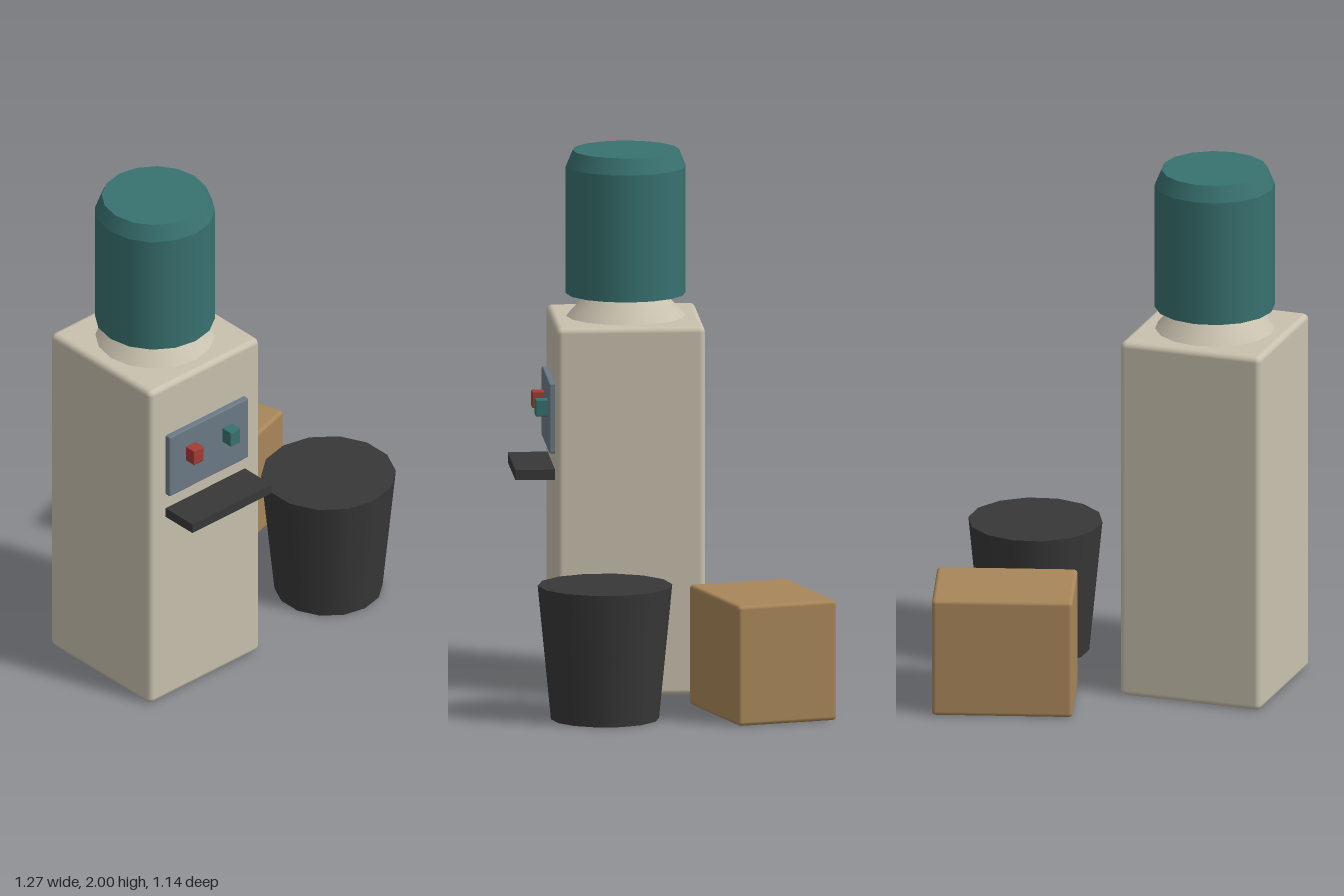
import * as THREE from 'three';
import { RoundedBoxGeometry } from 'three/addons/geometries/RoundedBoxGeometry.js';

const material = (name, color) => {
  const m = new THREE.MeshStandardMaterial({ color });
  m.name = name;
  return m;
};

export function createModel() {
  const beige = material('beige plastic', 0xc8c1ae);
  const teal = material('teal bottle', 0x38716f);
  const slate = material('slate panel', 0x6b7a86);
  const red = material('red tap', 0xa23c34);
  const black = material('dark plastic', 0x383838);
  const cardboard = material('cardboard', 0xa88659);

  const model = new THREE.Group();
  model.name = 'waterCoolerSet';
  const add = (parent, name, geometry, mat, x, y, z) => {
    const mesh = new THREE.Mesh(geometry, mat);
    mesh.name = name;
    mesh.position.set(x, y, z);
    parent.add(mesh);
    return mesh;
  };
  const rounded = (w, h, d, r) => new RoundedBoxGeometry(w, h, d, 2, r);

  // Water cooler, centred on its own axis
  const cooler = new THREE.Group();
  cooler.name = 'waterCooler';
  cooler.position.set(-0.36, 0, 0.15);
  model.add(cooler);
  add(cooler, 'cabinet', rounded(0.55, 1.38, 0.55, 0.022), beige, 0, 0.69, 0);
  add(cooler, 'bottleCollar', new THREE.CylinderGeometry(0.14, 0.222, 0.09, 16), beige, 0, 1.423, 0);

  // Bottle with a bevelled shoulder
  add(cooler, 'bottleBody', new THREE.CylinderGeometry(0.222, 0.222, 0.475, 16), teal, 0, 1.7025, 0);
  add(cooler, 'bottleShoulder', new THREE.CylinderGeometry(0.197, 0.222, 0.06, 16), teal, 0, 1.97, 0);

  // Control panel, taps and drip tray
  add(cooler, 'panel', rounded(0.395, 0.262, 0.04, 0.006), slate, 0, 1.03, 0.277);
  for (const [name, side, mat] of [['hotTap', -1, red], ['coldTap', 1, teal]]) {
    add(cooler, name, rounded(0.05, 0.062, 0.055, 0.004), mat, side * 0.0915, 1.055, 0.314);
  }
  add(cooler, 'dripTray', new THREE.BoxGeometry(0.395, 0.038, 0.16), black, 0, 0.82, 0.342);

  // Waste bin
  add(model, 'wasteBin', new THREE.CylinderGeometry(0.249, 0.2, 0.5, 14), black, 0.388, 0.25, 0.28);

  // Cardboard box, turned on the floor
  const box = add(model, 'cardboardBox', rounded(0.52, 0.45, 0.39, 0.015), cardboard, 0.298, 0.225, -0.311);
  box.rotation.y = 0.29;

  return model;
}
